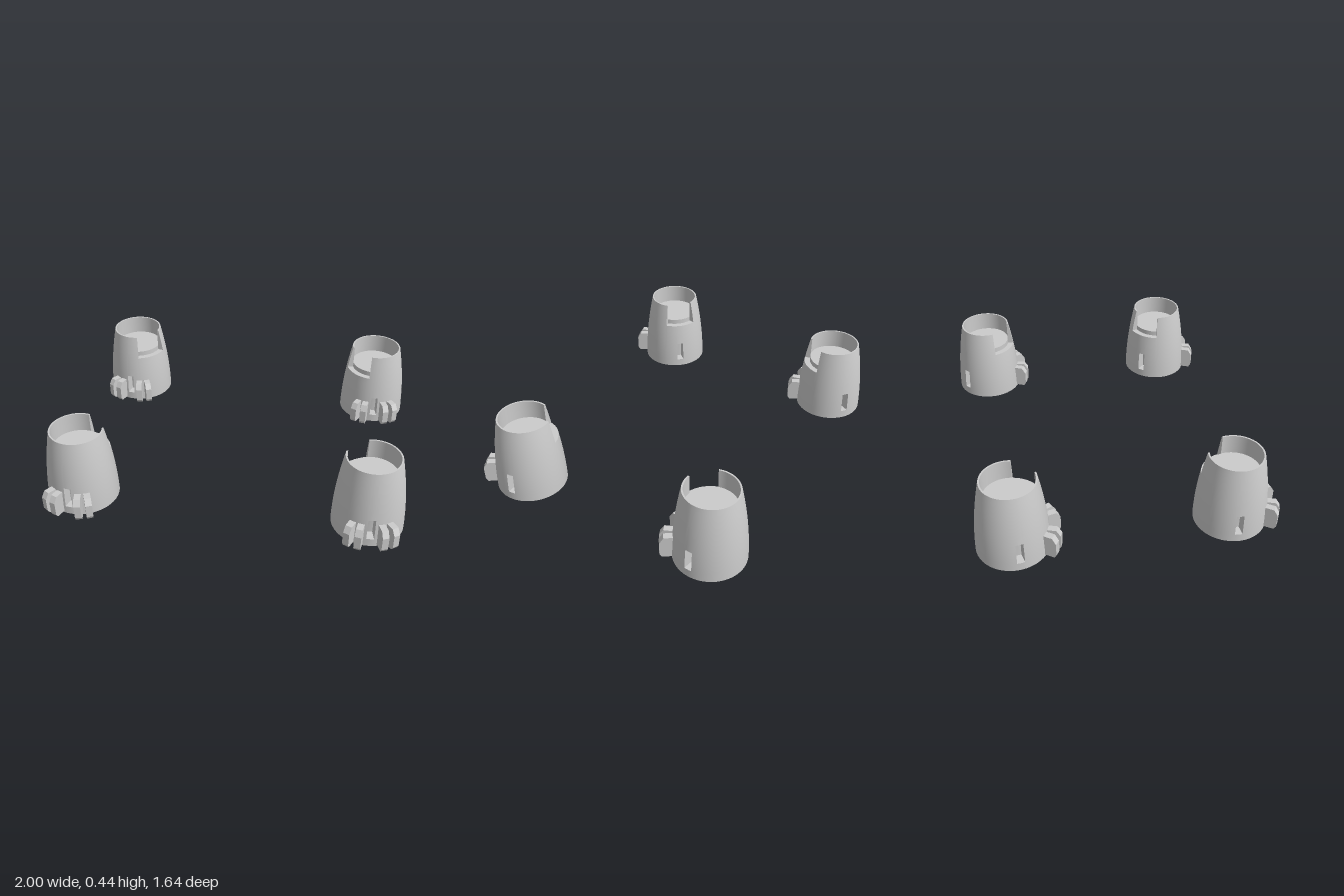
import * as THREE from 'three';
import { toCreasedNormals } from 'three/addons/utils/BufferGeometryUtils.js';

const HEIGHT = 0.44, CORE_R = 0.14, FLOOR_Y = 0.33, LEDGE_Y = 0.3;
const SLOT_Y0 = 0.047, SLOT_Y1 = 0.168, SLOT_HALF = 6, NOTCH_HALF = 33;
const material = new THREE.MeshStandardMaterial({ color: 0xcccccc });

// Outer wall: nearly upright at the base, curving inwards to the rim
const outerRadius = (y) => 0.198 - 0.231 * Math.pow(y, 1.89);

// Signed difference of two angles in degrees
const angleDiff = (a, b) => ((((a - b + 180) % 360) + 360) % 360) - 180;

// Cup body with top notch and wall slots: solid cells on an (angle, height, radius) grid;
// a face is made wherever a solid cell meets an empty one.
function cupGeometry(notch, slots) {
  const cuts = [notch - NOTCH_HALF, notch + NOTCH_HALF];
  slots.forEach((s) => cuts.push(s - SLOT_HALF, s + SLOT_HALF));
  const set = new Set(cuts.map((a) => ((a % 360) + 360) % 360));
  for (let a = 0; a < 360; a += 5) set.add(a);
  const angles = [...set].sort((a, b) => a - b);
  const ys = [0, SLOT_Y0, 0.11, SLOT_Y1, 0.22, 0.26, LEDGE_Y, FLOOR_Y, 0.37, 0.41, HEIGHT];
  const n = angles.length;

  const point = ([i, j, k]) => {
    const a = THREE.MathUtils.degToRad(angles[i % n]);
    const r = [0, CORE_R, outerRadius(ys[j])][k];
    return new THREE.Vector3(r * Math.sin(a), ys[j], r * Math.cos(a));
  };
  const solid = ([ci, j, k]) => {
    if (k < 0) return true;
    if (k > 1 || j < 0 || j >= ys.length - 1) return false;
    const i = (ci + n) % n;
    const mid = (angles[i] + (i + 1 < n ? angles[i + 1] : 360)) / 2;
    const y = (ys[j] + ys[j + 1]) / 2;
    if (k === 0) return y < FLOOR_Y;
    if (y > LEDGE_Y && Math.abs(angleDiff(mid, notch)) < NOTCH_HALF) return false;
    const inSlot = slots.some((s) => Math.abs(angleDiff(mid, s)) < SLOT_HALF);
    return !(inSlot && y > SLOT_Y0 && y < SLOT_Y1);
  };

  const positions = [];
  const triangle = (a, b, c) => {
    if (a.equals(b) || b.equals(c) || c.equals(a)) return;
    [a, b, c].forEach((p) => positions.push(p.x, p.y, p.z));
  };
  const step = (cell, axis, d) => cell.map((v, m) => (m === axis ? v + d : v));

  for (let i = 0; i < n; i++)
    for (let j = 0; j < ys.length - 1; j++)
      for (let k = 0; k < 2; k++) {
        const cell = [i, j, k];
        if (!solid(cell)) continue;
        for (let axis = 0; axis < 3; axis++)
          for (let side = 0; side < 2; side++) {
            if (solid(step(cell, axis, side ? 1 : -1))) continue;
            const u = (axis + 1) % 3, v = (axis + 2) % 3;
            const c0 = step(cell, axis, side), c1 = step(c0, u, 1);
            const quad = [c0, c1, step(c1, v, 1), step(c0, v, 1)].map(point);
            if (!side) quad.reverse();
            triangle(quad[0], quad[1], quad[2]);
            triangle(quad[0], quad[2], quad[3]);
          }
      }
  const geometry = new THREE.BufferGeometry();
  geometry.setAttribute('position', new THREE.Float32BufferAttribute(positions, 3));
  return toCreasedNormals(geometry, 0.5);
}

// Upright fin with bevelled outer corners, pointing along +z
function finGeometry() {
  const width = 0.036;
  const profile = [[0.17, 0.01], [0.25, 0.01], [0.262, 0.03], [0.262, 0.105], [0.24, 0.14], [0.17, 0.14]];
  const shape = new THREE.Shape(profile.map(([r, y]) => new THREE.Vector2(r, y)));
  const geometry = new THREE.ExtrudeGeometry(shape, { depth: width, bevelEnabled: false });
  geometry.translate(0, 0, -width / 2);
  return geometry.rotateY(-Math.PI / 2);
}

export function createModel() {
  const model = new THREE.Group();
  model.name = 'cupSet';
  const fin = finGeometry();

  // Angles run from the front (+z) towards +x and are mirrored for the cups on -x
  const cups = [
    { name: 'frontLeftCup', x: 0.8, z: 0.56, side: 1, notch: 225, slots: [5, 95, 228] },
    { name: 'frontRightCup', x: -0.8, z: 0.56, side: -1, notch: 225, slots: [6, 95, 228] },
    { name: 'backLeftCup', x: 0.8, z: -0.6, side: 1, notch: 317, slots: [5, 84, 218] },
    { name: 'backRightCup', x: -0.77, z: -0.62, side: -1, notch: 315, slots: [6, 84, 218] },
  ];

  for (const { name, x, z, side, notch, slots } of cups) {
    const cup = new THREE.Group();
    cup.name = name;
    cup.position.set(x, 0, z);

    const body = new THREE.Mesh(cupGeometry(side * notch, slots.map((s) => side * s)), material);
    body.name = 'cupBody';
    cup.add(body);

    // Two pairs of fins, one on each side of the front slot
    for (const angle of [-25, -11, 21, 35]) {
      const mesh = new THREE.Mesh(fin, material);
      mesh.name = 'fin';
      mesh.rotation.y = THREE.MathUtils.degToRad(side * angle);
      cup.add(mesh);
    }
    model.add(cup);
  }
  return model;
}
